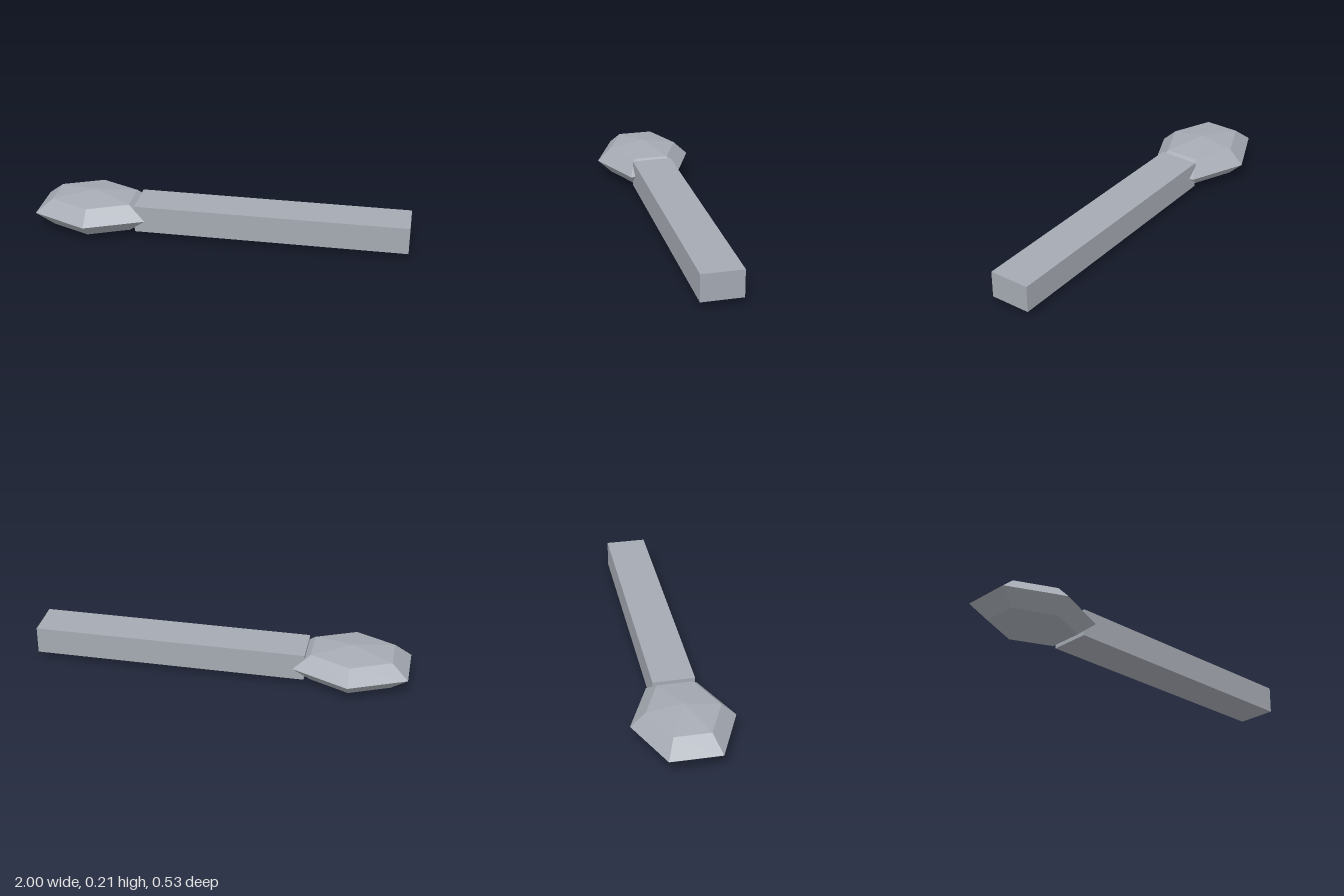
import * as THREE from 'three';

export function createModel() {
  const group = new THREE.Group();
  const steel = new THREE.MeshStandardMaterial({ color: 0xa5aab3, flatShading: true });
  steel.name = 'greySteel';

  const midY = 0.106;

  // Faceted hexagonal head, pointed at top and bottom, corners towards +z and -z
  const headShape = new THREE.SphereGeometry(1, 6, 4, Math.PI / 6);
  headShape.scale(0.346, 0.106, 0.266);
  const head = new THREE.Mesh(headShape, steel);
  head.name = 'head';
  head.position.set(-0.7, midY, 0);

  // Straight rectangular shaft
  const startX = -0.458, endX = 1;
  const shaft = new THREE.Mesh(new THREE.BoxGeometry(endX - startX, 0.146, 0.219), steel);
  shaft.name = 'shaft';
  shaft.position.set((startX + endX) / 2, midY, 0);

  group.add(head, shaft);
  return group;
}
